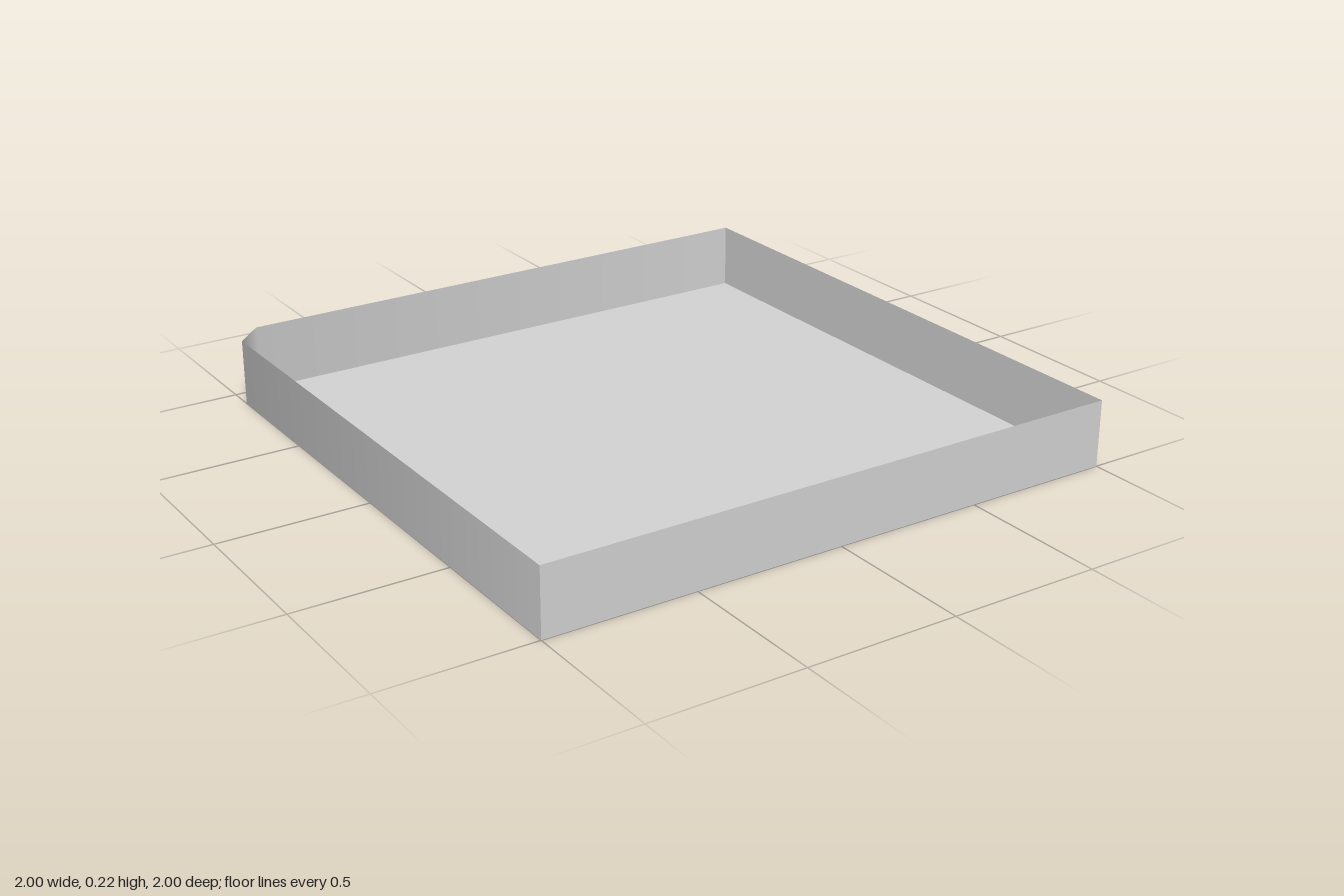
import * as THREE from 'three';

const HEIGHT = 0.222;
const CUT = 0.09; // size of the clipped back corner

// Tray outline as (x, z), running front-left, back-left, clipped corner, front-right
const OUTLINE = [[1, 1], [1, -1], [-1 + CUT, -1], [-1, -1 + CUT], [-1, 1]]
  .map(([x, z]) => new THREE.Vector2(x, z));
const COUNT = OUTLINE.length;

// Thin upright sheet following the outline, smooth only around the clipped corner
function wallGeometry() {
  const faceNormals = OUTLINE.map((p, i) => {
    const d = OUTLINE[(i + 1) % COUNT].clone().sub(p).normalize();
    return new THREE.Vector2(-d.y, d.x);
  });
  // Blend with the neighbouring wall where the turn is gentle
  const cornerNormal = (wall, neighbour) => {
    const a = faceNormals[wall];
    const b = faceNormals[(neighbour + COUNT) % COUNT];
    return a.dot(b) > 0.5 ? a.clone().add(b).normalize() : a;
  };

  const positions = [];
  const normals = [];
  const indices = [];
  OUTLINE.forEach((start, i) => {
    const end = OUTLINE[(i + 1) % COUNT];
    const base = i * 4;
    for (const [p, n] of [[start, cornerNormal(i, i - 1)], [end, cornerNormal(i, i + 1)]]) {
      positions.push(p.x, 0, p.y, p.x, HEIGHT, p.y);
      normals.push(n.x, 0, n.y, n.x, 0, n.y);
    }
    indices.push(base, base + 2, base + 3, base, base + 3, base + 1);
  });

  const geometry = new THREE.BufferGeometry();
  geometry.setAttribute('position', new THREE.Float32BufferAttribute(positions, 3));
  geometry.setAttribute('normal', new THREE.Float32BufferAttribute(normals, 3));
  geometry.setIndex(indices);
  return geometry;
}

// Flat base sheet with the same outline
function floorGeometry() {
  const shape = new THREE.Shape(OUTLINE.map((p) => new THREE.Vector2(p.x, -p.y)));
  return new THREE.ShapeGeometry(shape).rotateX(-Math.PI / 2);
}

export function createModel() {
  const lightGrey = new THREE.MeshStandardMaterial({ color: 0xd1d1d1, side: THREE.DoubleSide });
  lightGrey.name = 'lightGrey';

  const tray = new THREE.Group();
  tray.name = 'tray';

  const floor = new THREE.Mesh(floorGeometry(), lightGrey);
  floor.name = 'floor';

  const walls = new THREE.Mesh(wallGeometry(), lightGrey);
  walls.name = 'walls';

  tray.add(floor, walls);
  return tray;
}
